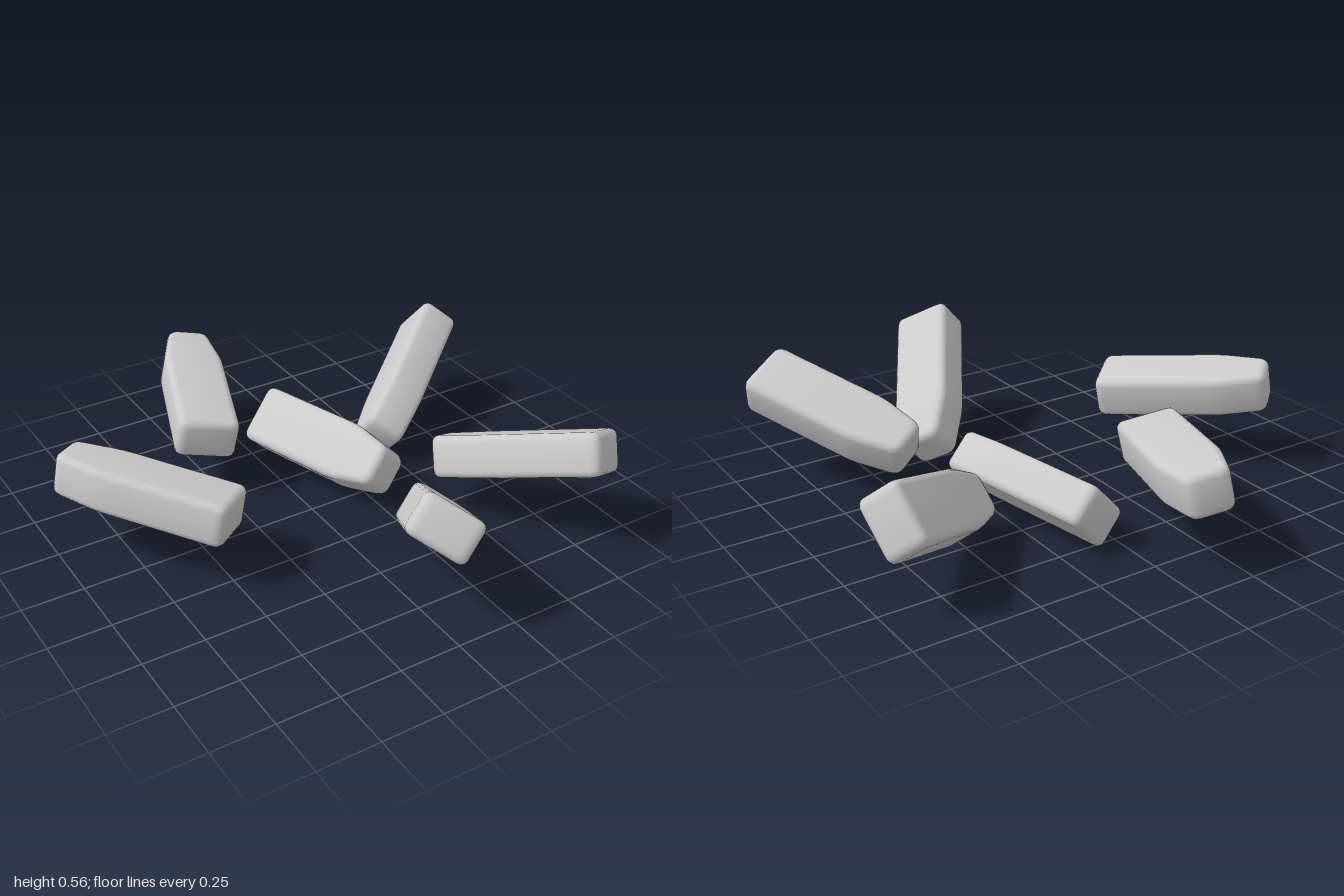
import * as THREE from 'three';
import { toCreasedNormals } from 'three/addons/utils/BufferGeometryUtils.js';

const LENGTH = 0.71, WIDTH = 0.25, THICK = 0.17, BEVEL = 0.028;

// Closed outline whose corners are rounded by radius r
function roundedOutline(points, r) {
  const shape = new THREE.Shape();
  const n = points.length;
  points.forEach((p, i) => {
    const prev = points[(i + n - 1) % n], next = points[(i + 1) % n];
    const a = p.clone().add(prev.clone().sub(p).setLength(r));
    const b = p.clone().add(next.clone().sub(p).setLength(r));
    if (i === 0) shape.moveTo(a.x, a.y); else shape.lineTo(a.x, a.y);
    shape.quadraticCurveTo(p.x, p.y, b.x, b.y);
  });
  shape.closePath();
  return shape;
}

// Plank with one square end (-x) and one tapered end (+x)
function plankGeometry() {
  const l = LENGTH / 2, w = WIDTH / 2;
  const half = [[-l, w], [l - 0.2, w], [l, 0.084]];
  const points = [
    ...half.map(([x, y]) => new THREE.Vector2(x, -y)),
    ...half.slice().reverse().map(([x, y]) => new THREE.Vector2(x, y)),
  ];
  const geometry = new THREE.ExtrudeGeometry(roundedOutline(points, 0.042), {
    depth: THICK - 2 * BEVEL,
    bevelSize: BEVEL,
    bevelThickness: BEVEL,
    bevelOffset: -BEVEL,
    bevelSegments: 3,
    curveSegments: 4,
  });
  geometry.translate(0, 0, BEVEL - THICK / 2);
  return toCreasedNormals(geometry, 0.75);
}

// Centre, direction towards the tapered end, direction across the width
const PIECES = [
  { name: 'leftmostPlank', at: [-0.7, 0.31, -0.035], along: [-0.44, 0.08, -0.53], across: [0.18, -0.04, -0.17] },
  { name: 'backPlank', at: [-0.2, 0.31, -0.61], along: [0.24, 0.07, -0.67], across: [0.22, -0.045, 0.08] },
  { name: 'backSidePlank', at: [0.685, 0.245, -0.35], along: [-0.52, -0.23, 0.38], across: [0.03, 0.16, 0.14] },
  { name: 'middlePlank', at: [0.18, 0.148, -0.2], along: [0.17, 0.035, 0.7], across: [0.16, 0.17, -0.05] },
  { name: 'frontSidePlank', at: [0.655, 0.313, 0.495], along: [-0.34, -0.19, -0.54], across: [0.19, -0.09, -0.1] },
  { name: 'frontPlank', at: [0.14, 0.28, 0.645], along: [0.3, -0.33, -0.5], across: [0.12, -0.09, 0.13] },
];

export function createModel() {
  const group = new THREE.Group();
  group.name = 'scatteredPlanks';
  const geometry = plankGeometry();
  const material = new THREE.MeshStandardMaterial({ color: 0xcccccc });

  for (const { name, at, along, across } of PIECES) {
    const x = new THREE.Vector3(...along).normalize();
    const z = x.clone().cross(new THREE.Vector3(...across)).normalize();
    const y = z.clone().cross(x);
    const plank = new THREE.Mesh(geometry, material);
    plank.name = name;
    plank.quaternion.setFromRotationMatrix(new THREE.Matrix4().makeBasis(x, y, z));
    plank.position.set(...at);
    group.add(plank);
  }
  return group;
}
